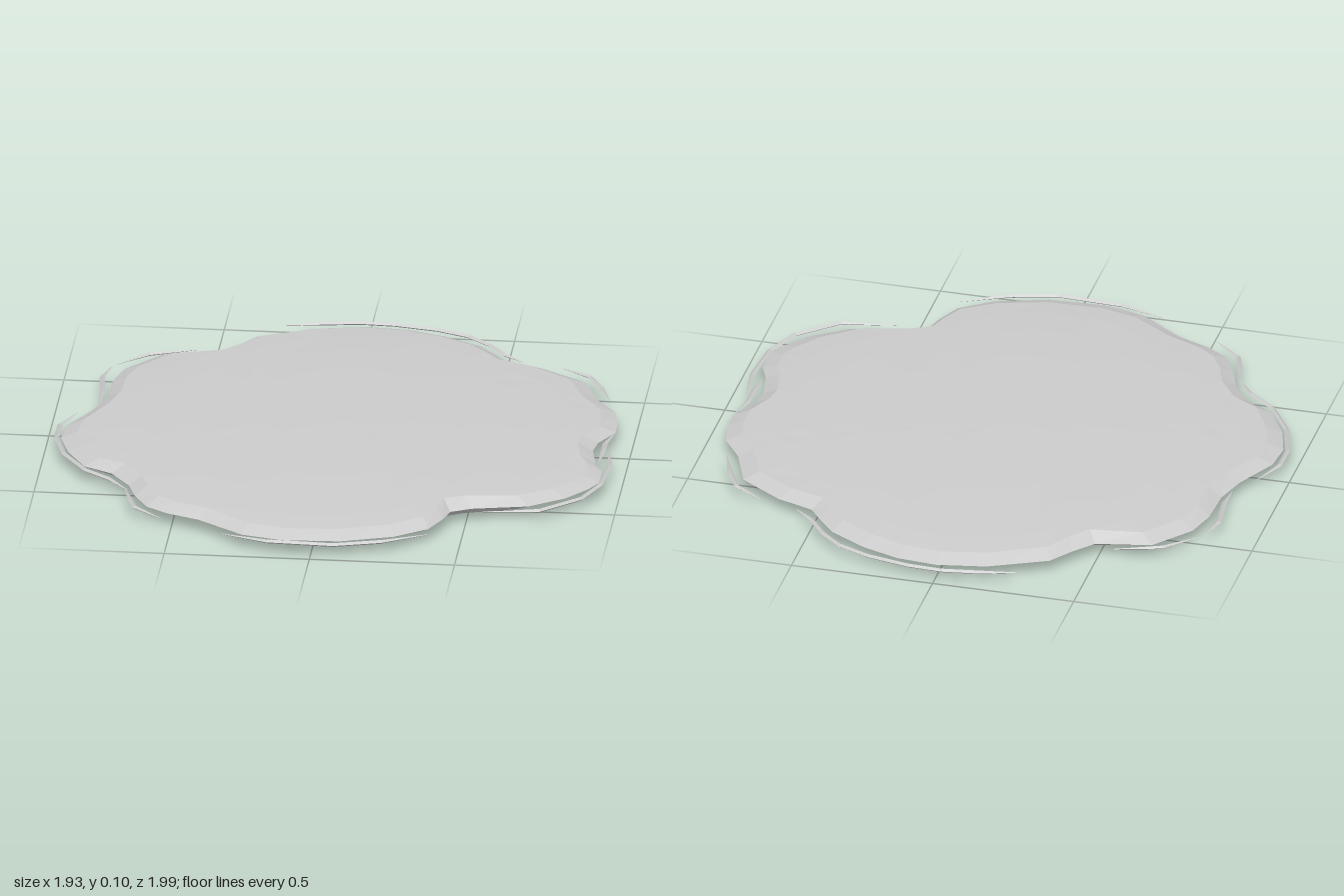
import * as THREE from 'three';

const MID = 0.05;
const material = new THREE.MeshStandardMaterial({ color: 0xcccccc, flatShading: true });

// Scalloped outline of the pool as x, z pairs, running from the back round the left side
const OUTLINE = [
  0, -0.957, 0.14, -0.945, 0.27, -0.9, 0.4, -0.825, 0.46, -0.755, 0.51, -0.69,
  0.64, -0.645, 0.79, -0.545, 0.85, -0.39, 0.92, -0.29, 0.94, -0.19, 0.94, -0.11,
  0.89, -0.01, 0.88, 0.06, 0.9, 0.17, 0.93, 0.24, 0.93, 0.34, 0.9, 0.4,
  0.83, 0.49, 0.71, 0.575, 0.52, 0.615, 0.45, 0.65, 0.43, 0.72, 0.39, 0.81,
  0.28, 0.89, 0.1, 0.95, -0.1, 0.96, -0.24, 0.925, -0.4, 0.81, -0.52, 0.76,
  -0.59, 0.71, -0.64, 0.62, -0.67, 0.53, -0.74, 0.43, -0.84, 0.375, -0.91, 0.25,
  -0.945, 0.13, -0.935, 0.02, -0.86, -0.13, -0.825, -0.25, -0.82, -0.39, -0.79, -0.5,
  -0.68, -0.635, -0.49, -0.675, -0.43, -0.745, -0.37, -0.83, -0.17, -0.925,
];

// Centre lines of the thin slivers around the rim
const SLIVERS = [
  [-0.28, -0.94, -0.16, -0.97, -0.03, -0.99, 0.09, -0.985, 0.24, -0.955, 0.35, -0.91, 0.43, -0.84, 0.49, -0.76, 0.56, -0.7],
  [0.7, -0.66, 0.8, -0.595, 0.85, -0.5, 0.89, -0.39],
  [0.94, -0.11, 0.915, -0.01, 0.915, 0.07, 0.91, 0.16],
  [0.935, 0.05, 0.95, 0.18, 0.935, 0.36, 0.88, 0.49, 0.75, 0.61, 0.56, 0.64],
  [0.39, 0.86, 0.24, 0.94, 0.08, 0.985, -0.15, 0.975, -0.31, 0.925],
  [-0.53, 0.81, -0.63, 0.72, -0.655, 0.645, -0.68, 0.56],
  [-0.67, 0.57, -0.74, 0.48, -0.83, 0.41, -0.92, 0.27, -0.96, 0.13, -0.96, 0.02, -0.91, -0.1],
  [-0.85, -0.2, -0.845, -0.28, -0.86, -0.42, -0.835, -0.52],
  [-0.82, -0.54, -0.72, -0.64, -0.56, -0.695],
];

const toPoints = (flat) =>
  Array.from({ length: flat.length / 2 }, (_, i) => new THREE.Vector2(flat[2 * i], flat[2 * i + 1]));

function makeMesh(name, positions, index) {
  const geometry = new THREE.BufferGeometry();
  geometry.setAttribute('position', new THREE.Float32BufferAttribute(positions, 3));
  geometry.setIndex(index);
  geometry.computeVertexNormals();
  const mesh = new THREE.Mesh(geometry, material);
  mesh.name = name;
  return mesh;
}

// One half of the flattened lens: side is 1 for the top, -1 for the underside
function lensHalf(name, side) {
  const outline = toPoints(OUTLINE);
  const n = outline.length;
  const rings = [0.25, 0.5, 0.7, 0.84, 0.94, 1];
  const positions = [0, MID + side * MID, 0];
  const index = [];
  const face = (a, b, c) => (side > 0 ? index.push(a, c, b) : index.push(a, b, c));
  rings.forEach((t, k) => {
    outline.forEach((p) => {
      const r = t * p.length();
      const height = t === 1 ? 0 : MID * Math.sqrt(1 - r * r);
      positions.push(p.x * t, MID + side * height, p.y * t);
    });
    for (let i = 0; i < n; i++) {
      const a = 1 + k * n + i;
      const b = 1 + k * n + ((i + 1) % n);
      if (k === 0) face(0, a, b);
      else {
        face(a - n, a, b);
        face(a - n, b, b - n);
      }
    }
  });
  return makeMesh(name, positions, index);
}

// Diamond-section strip that tapers to a point at both ends
function sliver(flat, number) {
  const path = toPoints(flat);
  const last = path.length - 1;
  const positions = [];
  const index = [];
  path.forEach((p, i) => {
    const along = path[Math.min(i + 1, last)].clone().sub(path[Math.max(i - 1, 0)]).normalize();
    const size = i === 0 || i === last ? 0.15 : 1;
    const w = 0.009 * size;
    const h = 0.007 * size;
    positions.push(
      p.x - along.y * w, MID, p.y + along.x * w,
      p.x, MID + h, p.y,
      p.x + along.y * w, MID, p.y - along.x * w,
      p.x, MID - h, p.y,
    );
    if (i === last) return;
    for (let j = 0; j < 4; j++) {
      const a = 4 * i + j;
      const b = 4 * i + ((j + 1) % 4);
      index.push(a, a + 4, b, b, a + 4, b + 4);
    }
  });
  const e = 4 * last;
  index.push(0, 1, 2, 0, 2, 3, e, e + 2, e + 1, e, e + 3, e + 2);
  return makeMesh(`rimSliver${number + 1}`, positions, index);
}

export function createModel() {
  const model = new THREE.Group();
  model.name = 'pool';

  const body = new THREE.Group();
  body.name = 'body';
  body.add(lensHalf('topSurface', 1), lensHalf('underside', -1));

  const rim = new THREE.Group();
  rim.name = 'rimSlivers';
  SLIVERS.forEach((path, i) => rim.add(sliver(path, i)));

  model.add(body, rim);
  return model;
}
